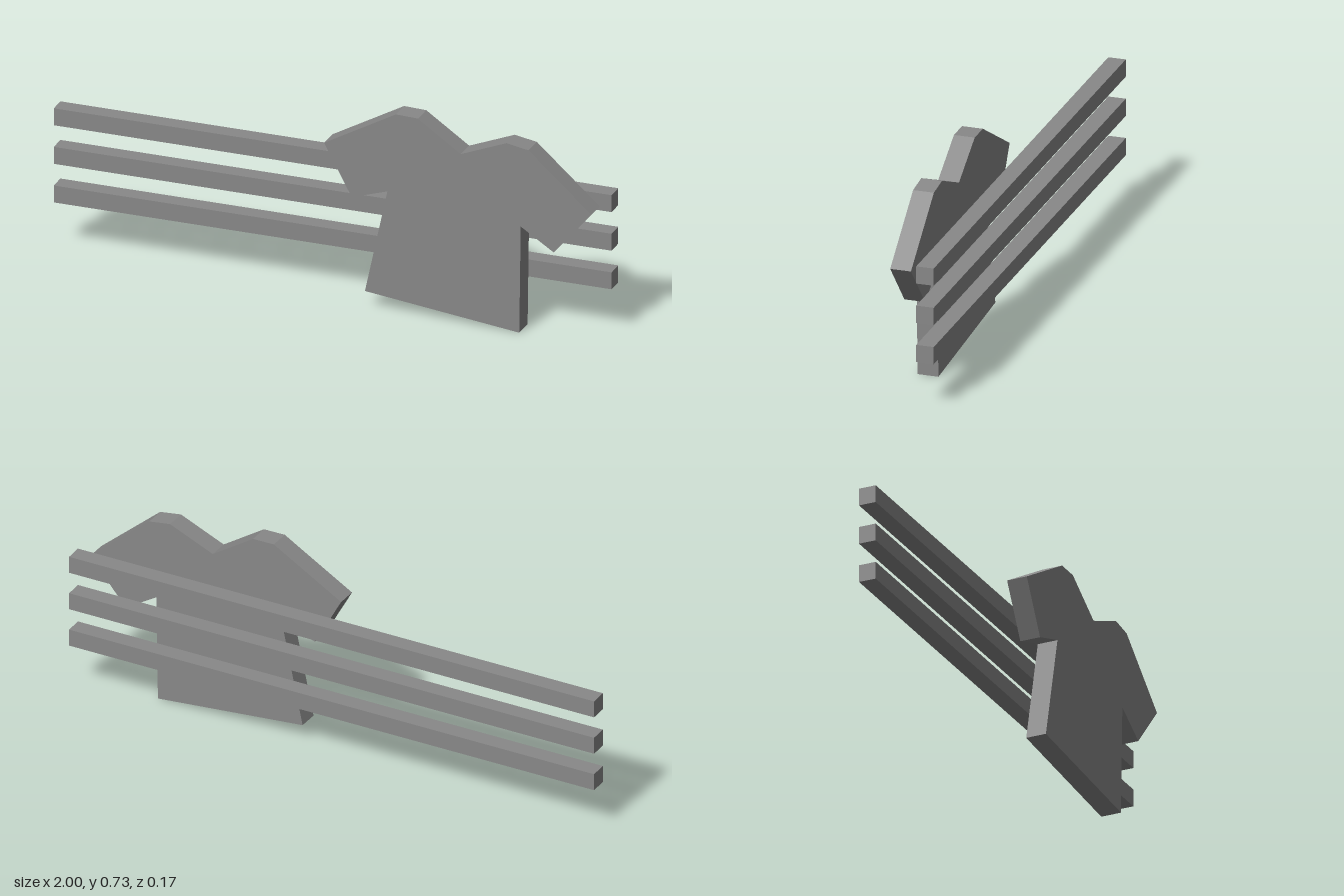
import * as THREE from 'three';

export function createModel() {
  const model = new THREE.Group();
  model.name = 'shirtOnRails';
  const material = new THREE.MeshStandardMaterial({ color: 0x888888, flatShading: true });

  // Three parallel square rails
  const railSize = 0.062;
  const railGeometry = new THREE.BoxGeometry(2, railSize, railSize);
  ['lowerRail', 'middleRail', 'upperRail'].forEach((name, i) => {
    const rail = new THREE.Mesh(railGeometry, material);
    rail.name = name;
    rail.position.set(0, 0.198 + i * 0.1415, -0.051);
    model.add(rail);
  });

  // T-shirt plate: outline counter-clockwise from the hem
  const outline = [
    [0.147, 0.06], [0.705, 0.001],                  // hem
    [0.711, 0.392], [0.83, 0.317], [0.967, 0.478],  // left sleeve
    [0.74, 0.677], [0.66, 0.69],                    // left shoulder
    [0.495, 0.622],                                 // neckline
    [0.34, 0.726], [0.26, 0.728],                   // right shoulder
    [0, 0.58], [0.10, 0.397], [0.229, 0.44],        // right sleeve
  ].map(([x, y]) => new THREE.Vector2(x, y));
  const shirt = new THREE.Mesh(
    new THREE.ExtrudeGeometry(new THREE.Shape(outline), { depth: 0.074, bevelEnabled: false }),
    material
  );
  shirt.name = 'shirt';
  // Hangs in front of the rails, turned very slightly
  shirt.position.set(0.002, 0, -0.0145);
  shirt.rotation.set(0.005, -0.022, 0);
  model.add(shirt);

  return model;
}
